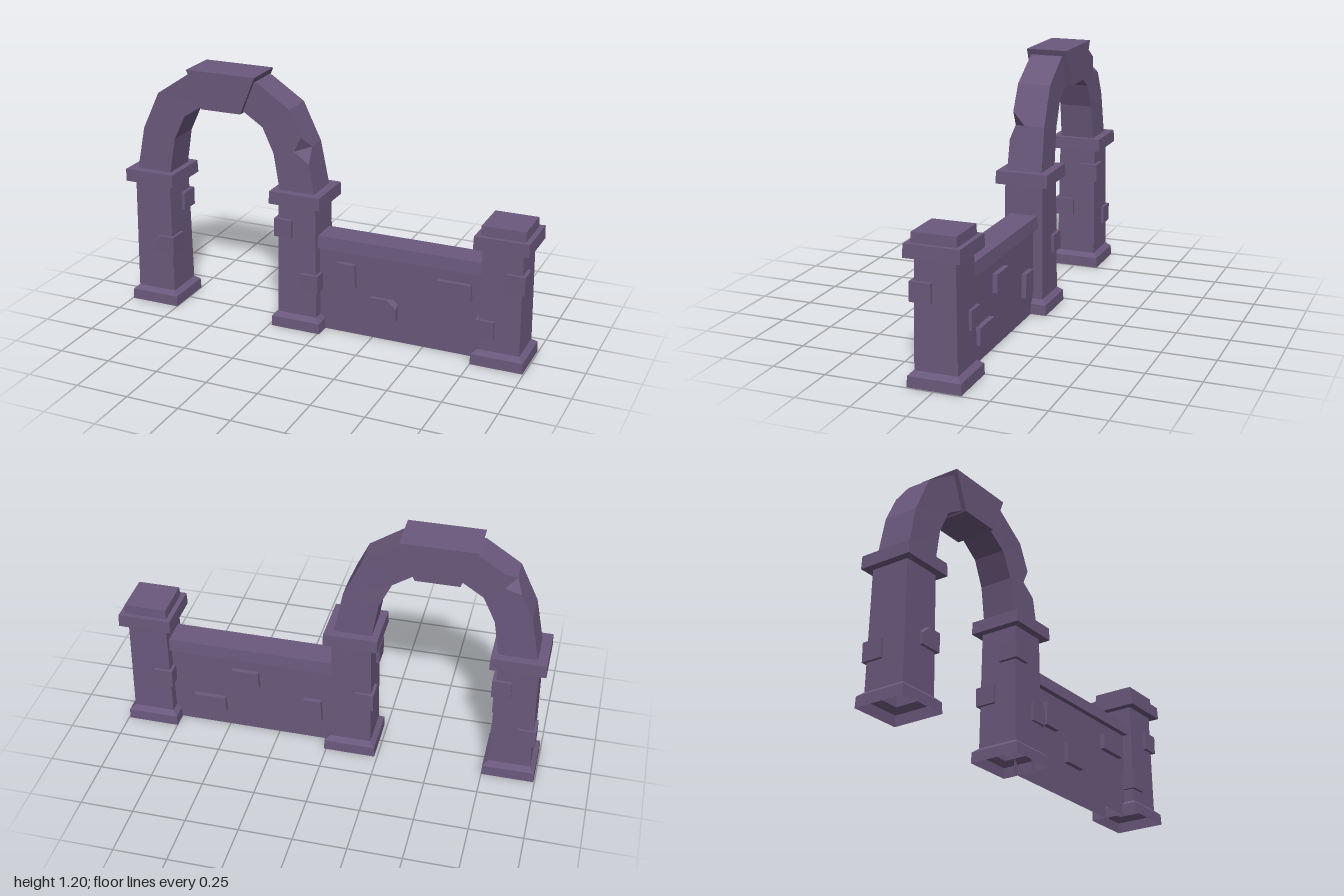
import * as THREE from 'three';
import { ConvexGeometry } from 'three/addons/geometries/ConvexGeometry.js';

export function createModel() {
  const model = new THREE.Group();
  model.name = 'archAndWall';
  const stone = new THREE.MeshStandardMaterial({ color: 0x6a587c, side: THREE.DoubleSide });
  stone.name = 'purple stone';

  const add = (parent, name, geo, x = 0, y = 0, z = 0) => {
    const mesh = new THREE.Mesh(geo, stone);
    mesh.name = name;
    mesh.position.set(x, y, z);
    parent.add(mesh);
    return mesh;
  };

  // Square frustum standing on y = 0, hollow unless closed
  function frustum(bottom, top, h, closed = false) {
    const g = new THREE.CylinderGeometry(top * Math.SQRT2, bottom * Math.SQRT2, h, 4, 1, !closed);
    g.rotateY(Math.PI / 4).translate(0, h / 2, 0);
    const flat = g.toNonIndexed();
    flat.computeVertexNormals();
    return flat;
  }

  // Box between two corners, narrowed at the top; chip = [sx, sy, sz] breaks off that corner
  function block(parent, name, [x0, x1], [y0, y1], [z0, z1], chip, top = 0) {
    const pts = [];
    for (const sx of [-1, 1]) for (const sy of [-1, 1]) for (const sz of [-1, 1]) {
      const inset = sy > 0 ? top * -sx : 0;
      const p = new THREE.Vector3((sx < 0 ? x0 : x1) + inset, sy < 0 ? y0 : y1, sz < 0 ? z0 : z1);
      if (chip && chip[0] === sx && chip[1] === sy && chip[2] === sz) {
        pts.push(p.clone().setX(p.x - sx * 0.044), p.clone().setY(p.y - sy * 0.038), p.clone().setZ(p.z - sz * 0.055));
      } else pts.push(p);
    }
    return add(parent, name, new ConvexGeometry(pts));
  }

  // Pillars: flared base, tapered shaft and cap
  function pillar(name, x, capY) {
    const g = new THREE.Group();
    g.name = name;
    g.position.x = x;
    add(g, 'base', frustum(0.123, 0.121, 0.05));
    add(g, 'baseSlope', frustum(0.121, 0.096, 0.022), 0, 0.05);
    add(g, 'shaft', frustum(0.098, 0.092, capY - 0.07), 0, 0.07);
    add(g, 'cap', frustum(0.127, 0.125, 0.06, true), 0, capY);
    model.add(g);
    return g;
  }
  // Brick wrapped round one corner of a shaft
  function cornerBrick(p, sx, sz, y, width = 0.088, chip) {
    const span = (s, w) => s > 0 ? [0.11 - w, 0.11] : [-0.11, w - 0.11];
    block(p, 'cornerBrick', span(sx, width), [y, y + 0.088], span(sz, 0.097), chip);
  }
  const outer = pillar('archPillarRight', -0.873, 0.62);
  const middle = pillar('archPillarLeft', -0.113, 0.62);
  const end = pillar('endPillar', 0.872, 0.56);
  add(end, 'capTop', frustum(0.102, 0.1, 0.045, true), 0, 0.62);
  cornerBrick(outer, 1, 1, 0.266, 0.11, [-1, 1, 1]);
  cornerBrick(outer, 1, -1, 0.456);
  cornerBrick(outer, -1, -1, 0.198);
  cornerBrick(middle, -1, 1, 0.456);
  cornerBrick(middle, -1, -1, 0.266);
  cornerBrick(middle, 1, 1, 0.198);
  cornerBrick(end, -1, 1, 0.13);
  cornerBrick(end, 1, 1, 0.37);
  cornerBrick(end, -1, -1, 0.226);

  // Arch legs: rings of [outer x, outer y, inner x, inner y, half depth]
  const cx = -0.491;
  const rings = [
    [0.462, 0.68, 0.287, 0.68, 0.085], [0.422, 0.885, 0.258, 0.85, 0.082],
    [0.338, 1.065, 0.202, 0.967, 0.079], [0.178, 1.172, 0.107, 1.028, 0.077],
    [0, 1.178, 0, 1.03, 0.076],
  ];
  // One outer edge vertex is broken off: chip = { ring, side, depth }
  function archLeg(name, dir, chip) {
    const out = (i, s) => new THREE.Vector3(cx + dir * rings[i][0], rings[i][1], s * rings[i][4]);
    const inn = (i, s) => new THREE.Vector3(cx + dir * rings[i][2], rings[i][3], s * rings[i][4]);
    const pos = [];
    // Convex polygon turned to face away from ref
    const poly = (pts, ref) => {
      const n = pts[1].clone().sub(pts[0]).cross(pts[2].clone().sub(pts[0]));
      if (n.dot(pts[0].clone().sub(ref)) < 0) pts = pts.slice().reverse();
      for (let k = 1; k < pts.length - 1; k++) {
        for (const p of [pts[0], pts[k], pts[k + 1]]) pos.push(p.x, p.y, p.z);
      }
    };
    for (let i = 0; i < rings.length - 1; i++) {
      const j = i + 1;
      const ref = out(i, 1).add(inn(i, -1)).add(out(j, 1)).add(inn(j, -1)).multiplyScalar(0.25);
      const hit = chip.ring === i ? i : chip.ring === j ? j : -1;
      const far = hit === i ? j : i;
      for (const s of [-1, 1]) {
        if (hit >= 0 && s === chip.side) {
          const edge = out(hit, s).lerp(out(far, s), 0.32);
          const face = out(hit, s).lerp(inn(hit, s), 0.37);
          const deep = out(hit, s).setZ(s * chip.depth);
          poly([inn(far, s), out(far, s), edge, face, inn(hit, s)], ref);
          poly([out(far, -s), out(far, s), edge, deep, out(hit, -s)], ref);
          poly([edge, face, deep], ref);
        } else poly([inn(i, s), out(i, s), out(j, s), inn(j, s)], ref);
      }
      if (hit < 0) poly([out(i, -1), out(i, 1), out(j, 1), out(j, -1)], ref);
      poly([inn(i, -1), inn(i, 1), inn(j, 1), inn(j, -1)], ref);
    }
    const g = new THREE.BufferGeometry();
    g.setAttribute('position', new THREE.Float32BufferAttribute(pos, 3));
    g.computeVertexNormals();
    add(model, name, g);
  }
  archLeg('archLegLeft', 1, { ring: 1, side: 1, depth: 0.015 });
  archLeg('archLegRight', -1, { ring: 2, side: -1, depth: 0.035 });

  // Keystone, wider at the top
  block(model, 'keystone', [cx - 0.1, cx + 0.1], [1.02, 1.2], [-0.099, 0.099], null, -0.074);

  // Recessed wall faces, open underneath, below an overhanging coping
  for (const s of [-1, 1]) {
    const face = new THREE.PlaneGeometry(0.8, 0.42);
    if (s < 0) face.rotateY(Math.PI);
    add(model, 'wallFace', face, 0.38, 0.21, s * 0.047);
  }
  const profile = new THREE.Shape([
    [-0.073, 0.415], [0.073, 0.415], [0.066, 0.475], [-0.066, 0.475],
  ].map(([z, y]) => new THREE.Vector2(z, y)));
  const coping = new THREE.ExtrudeGeometry(profile, { depth: 0.8, bevelEnabled: false });
  coping.rotateY(Math.PI / 2);
  add(model, 'coping', coping, -0.02);

  // Bricks standing out of both wall faces
  const front = [0.02, 0.071], back = [-0.071, -0.02];
  block(model, 'wallBrick', [0.07, 0.17], [0.24, 0.355], front, null, 0.007);
  block(model, 'wallBrick', [0.245, 0.372], [0.112, 0.21], front, [1, 1, 1]);
  block(model, 'wallBrick', [0.56, 0.728], [0.278, 0.355], front, null, 0.005);
  block(model, 'wallBrick', [0.033, 0.133], [0.12, 0.235], back, null, 0.007);
  block(model, 'wallBrick', [0.34, 0.48], [0.262, 0.347], back, null, 0.005);
  block(model, 'wallBrick', [0.51, 0.674], [0.09, 0.168], back, null, 0.005);

  return model;
}
